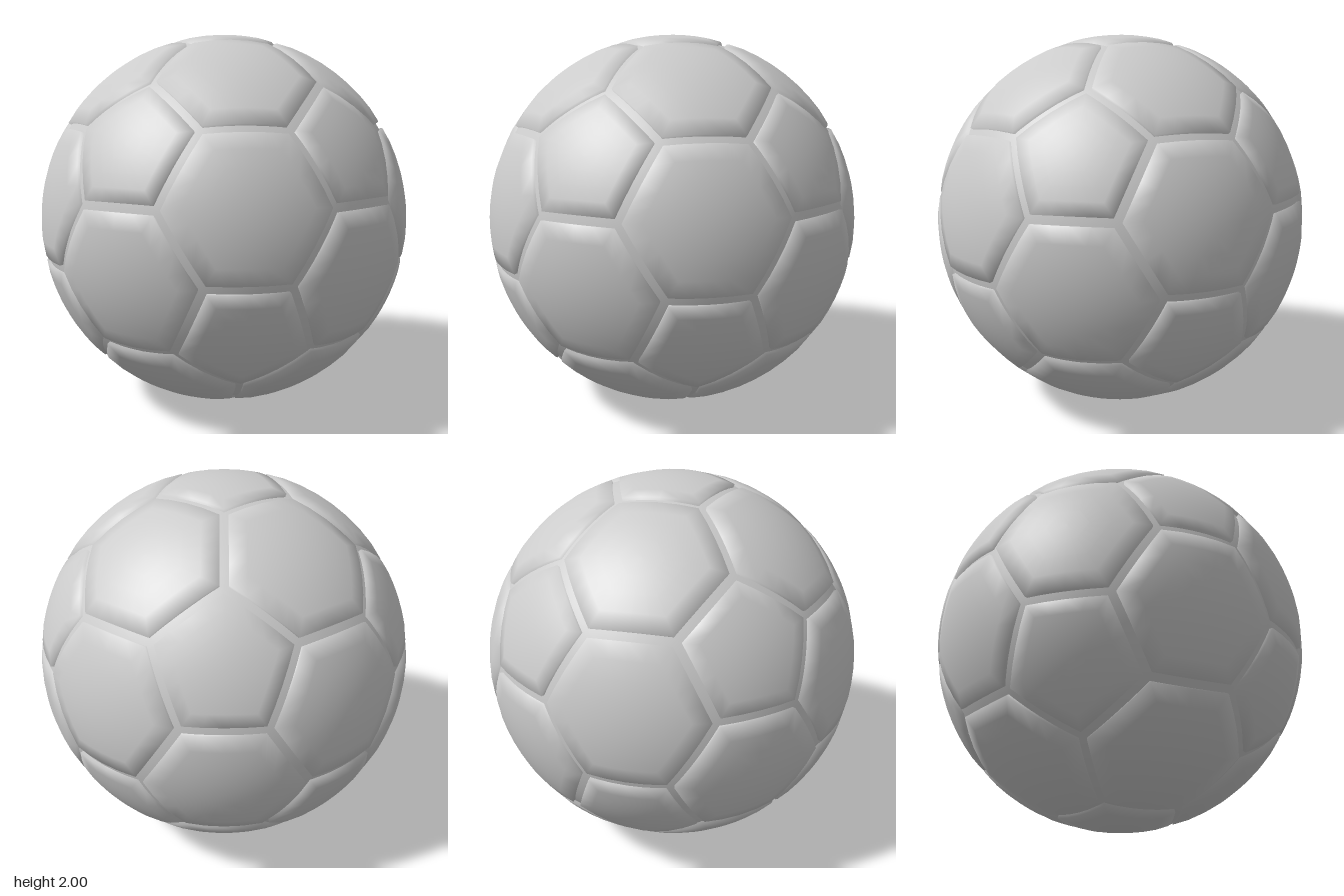
import * as THREE from 'three';

const RINGS = 4;          // rows from panel centre to rim
const PER_SIDE = 4;       // columns along each panel side
const HALF_SEAM = 0.022;  // half the gap between panels
const SEAM_R = 0.98;      // radius of the recessed seam surface

const material = new THREE.MeshStandardMaterial({ color: 0xcccccc });

// Twelve icosahedron points with one on the y axis
function icosahedronPoints() {
  const pts = [new THREE.Vector3(0, 1, 0), new THREE.Vector3(0, -1, 0)];
  const h = 1 / Math.sqrt(5), r = 2 / Math.sqrt(5);
  for (let k = 0; k < 5; k++) {
    const a = k * Math.PI * 0.4, b = a + Math.PI / 5;
    pts.push(new THREE.Vector3(r * Math.cos(a), h, r * Math.sin(a)));
    pts.push(new THREE.Vector3(r * Math.cos(b), -h, r * Math.sin(b)));
  }
  return pts;
}

// Curved panel over a flat polygon, with a short wall down to the seam
function panelGeometry(corners) {
  const centre = new THREE.Vector3();
  corners.forEach((p) => centre.addScaledVector(p, 1 / corners.length));
  const axis = centre.clone().normalize();
  const u = corners[0].clone().sub(centre).normalize();
  const v = axis.clone().cross(u);
  const angle = (p) => {
    const d = p.clone().sub(centre);
    return Math.atan2(d.dot(v), d.dot(u));
  };
  corners = corners.slice().sort((a, b) => angle(a) - angle(b));

  // Shrink the outline so that a gap is left for the seam
  const apothem = corners[0].clone().add(corners[1]).multiplyScalar(0.5).distanceTo(centre);
  const shrink = 1 - HALF_SEAM / apothem;
  const outline = [];
  corners.forEach((p, i) => {
    const q = corners[(i + 1) % corners.length];
    for (let k = 0; k < PER_SIDE; k++) {
      outline.push(p.clone().lerp(q, k / PER_SIDE).sub(centre).multiplyScalar(shrink));
    }
  });

  const pos = [], nor = [], index = [];
  const cols = outline.length;
  for (let i = 0; i <= RINGS + 1; i++) {
    const t = Math.min(i / RINGS, 1);
    const radius = i > RINGS ? SEAM_R - 0.01 : i === RINGS ? 0.997 : 1;
    const tilt = i > RINGS ? 1.5 : i === RINGS ? 0.7 : 0; // soft rounded rim
    for (const o of outline) {
      const dir = centre.clone().addScaledVector(o, t).normalize();
      const n = dir.clone().addScaledVector(o.clone().normalize(), tilt).normalize();
      pos.push(...dir.multiplyScalar(radius).toArray());
      nor.push(...n.toArray());
    }
  }
  for (let i = 0; i <= RINGS; i++) {
    for (let j = 0; j < cols; j++) {
      const k = (j + 1) % cols;
      const a = i * cols + j, a2 = i * cols + k;
      index.push(a, a + cols, a2 + cols);
      if (i > 0) index.push(a, a2 + cols, a2);
    }
  }
  const g = new THREE.BufferGeometry();
  g.setAttribute('position', new THREE.Float32BufferAttribute(pos, 3));
  g.setAttribute('normal', new THREE.Float32BufferAttribute(nor, 3));
  g.setIndex(index);
  return g;
}

export function createModel() {
  const ball = new THREE.Group();
  ball.name = 'ball';
  ball.position.y = 1;

  const pts = icosahedronPoints();
  const near = (a, b) => a !== b && a.distanceTo(b) < 1.2;
  const third = (a, b) => a.clone().lerp(b, 1 / 3);
  const addPanel = (name, corners) => {
    // Scale so that the corners lie on the unit sphere
    const s = 1 / corners[0].length();
    const mesh = new THREE.Mesh(panelGeometry(corners.map((p) => p.multiplyScalar(s))), material);
    mesh.name = name;
    ball.add(mesh);
  };

  // Twelve pentagons, one at each point
  for (const a of pts) {
    addPanel('pentagonPanel', pts.filter((b) => near(a, b)).map((b) => third(a, b)));
  }

  // Twenty hexagons, one for each triangle of neighbouring points
  for (let i = 0; i < 12; i++) for (let j = i + 1; j < 12; j++) for (let k = j + 1; k < 12; k++) {
    const [a, b, c] = [pts[i], pts[j], pts[k]];
    if (near(a, b) && near(b, c) && near(a, c)) {
      addPanel('hexagonPanel',
        [third(a, b), third(b, a), third(b, c), third(c, b), third(c, a), third(a, c)]);
    }
  }

  // Recessed surface seen between the panels
  const seams = new THREE.Mesh(new THREE.IcosahedronGeometry(SEAM_R, 14), material);
  seams.name = 'seams';
  ball.add(seams);

  const model = new THREE.Group();
  model.name = 'football';
  model.add(ball);
  return model;
}
